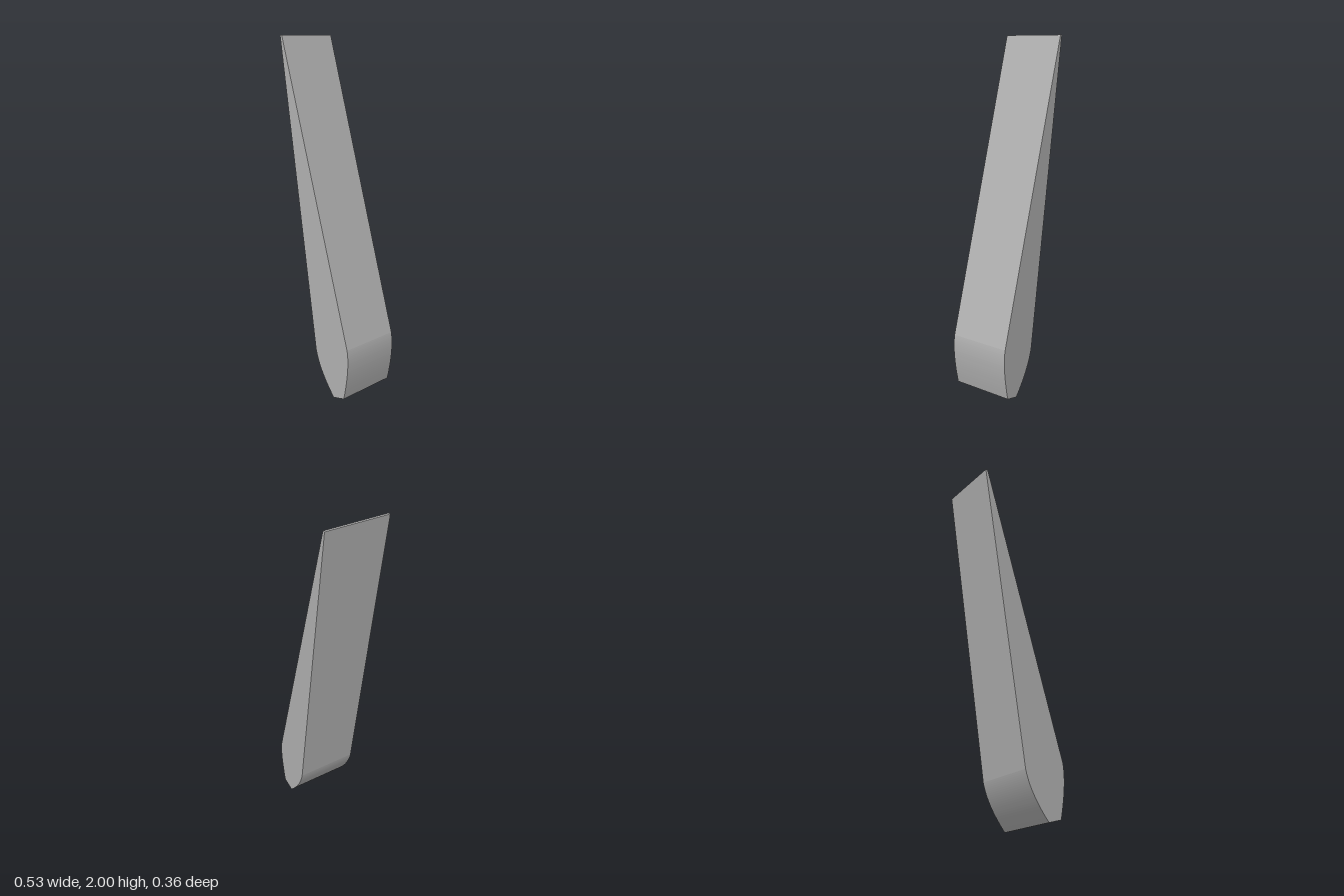
import * as THREE from 'three';

export function createModel() {
  const model = new THREE.Group();
  const grey = new THREE.MeshStandardMaterial({ color: 0xb0b0b0 });
  grey.name = 'plain grey';

  // Leaning tapered outline: narrow tip, rounded heel, small flat foot
  const outline = new THREE.Shape();
  outline.moveTo(0.15, 0);
  outline.lineTo(0.232, 0.022);
  outline.quadraticCurveTo(0.278, 0.22, 0.257, 0.325);
  outline.lineTo(-0.253, 2);
  outline.lineTo(-0.267, 2);
  outline.lineTo(0.003, 0.25);
  outline.quadraticCurveTo(0.032, 0.13, 0.15, 0);

  // Constant width across z
  const width = 0.362;
  const geometry = new THREE.ExtrudeGeometry(outline, {
    depth: width, bevelEnabled: false, curveSegments: 24,
  });
  geometry.translate(0, 0, -width / 2);

  const blade = new THREE.Mesh(geometry, grey);
  blade.name = 'taperedBlade';
  model.add(blade);
  return model;
}
